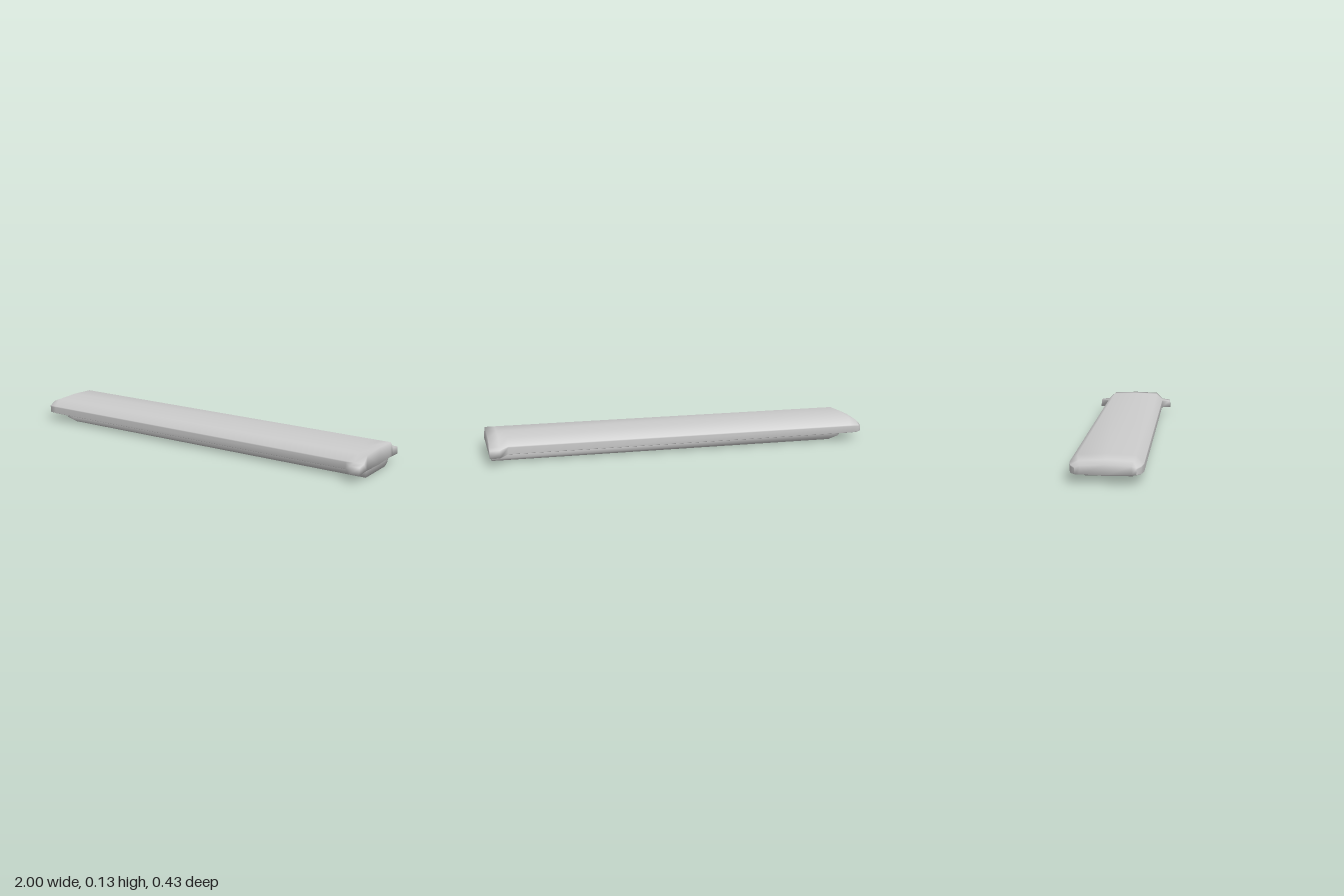
import * as THREE from 'three';

// Smooth closed loft along x. Each section is { x, cols }, where cols runs from
// the centre line outward as [zTop, yTop, zBottom, yBottom] and is mirrored in z.
function loft(name, sections) {
  const half = sections[0].cols.length;
  const columns = half * 2 - 1;
  const ring = columns * 2;
  const positions = [];
  const index = [];
  for (const { x, cols } of sections) {
    const full = [
      ...cols.slice().reverse(),
      ...cols.slice(1).map(([zt, yt, zb, yb]) => [-zt, yt, -zb, yb]),
    ];
    full.forEach(([z, y]) => positions.push(x, y, z));
    full.reverse().forEach(([, , z, y]) => positions.push(x, y, z));
  }
  // Skin between neighbouring sections
  for (let s = 0; s < sections.length - 1; s++) {
    for (let j = 0; j < ring; j++) {
      const a = s * ring + j;
      const b = s * ring + ((j + 1) % ring);
      index.push(a, a + ring, b + ring, a, b + ring, b);
    }
  }
  // End caps, bridged from top edge to bottom edge
  const last = (sections.length - 1) * ring;
  for (let i = 0; i < columns - 1; i++) {
    const t = i, u = i + 1, b = ring - 1 - i, c = ring - 2 - i;
    index.push(t, u, c, t, c, b);
    index.push(last + t, last + b, last + c, last + t, last + c, last + u);
  }
  const geometry = new THREE.BufferGeometry();
  geometry.setAttribute('position', new THREE.Float32BufferAttribute(positions, 3));
  geometry.setIndex(index);
  geometry.computeVertexNormals();
  const mesh = new THREE.Mesh(geometry, new THREE.MeshStandardMaterial({ color: 0xcccccc }));
  mesh.name = name;
  return mesh;
}

// Cover section: crown height, shoulder half-width, side half-width and height, flange reach
function coverSection(x, crown, shoulder, side, sideY, flange = 0) {
  return {
    x,
    cols: [
      [0, crown, 0, 0.04],
      [shoulder, crown - 0.005, shoulder, 0.044],
      [side, sideY, side - 0.005, 0.043],
      [side + flange, sideY - 0.006, side + flange * 1.1, flange ? 0.04 : 0.046],
    ],
  };
}

// Underside rail section: half-widths of the side and floor, and their heights
function railSection(x, side, floor, sideY, floorY) {
  return {
    x,
    cols: [
      [0, 0.06, 0, floorY],
      [floor, 0.06, floor, floorY],
      [side, 0.06, side, sideY],
    ],
  };
}

export function createModel() {
  const group = new THREE.Group();
  group.name = 'slimCover';

  // Long cover with a rounded nose and a flared flange at the other end
  group.add(loft('cover', [
    coverSection(-1, 0.088, 0.115, 0.138, 0.075),
    coverSection(-0.98, 0.107, 0.122, 0.157, 0.081),
    coverSection(-0.935, 0.126, 0.13, 0.167, 0.085),
    coverSection(0.905, 0.126, 0.13, 0.167, 0.085),
    coverSection(0.95, 0.126, 0.13, 0.167, 0.085, 0.045),
    coverSection(1, 0.126, 0.13, 0.167, 0.085, 0.045),
  ]));

  // Chamfered rail below the cover
  group.add(loft('bottomRail', [
    railSection(-0.89, 0.112, 0.095, 0.032, 0.024),
    railSection(-0.875, 0.13, 0.102, 0.024, 0.013),
    railSection(-0.83, 0.138, 0.108, 0.018, 0),
    railSection(0.985, 0.138, 0.108, 0.018, 0),
  ]));

  return group;
}
